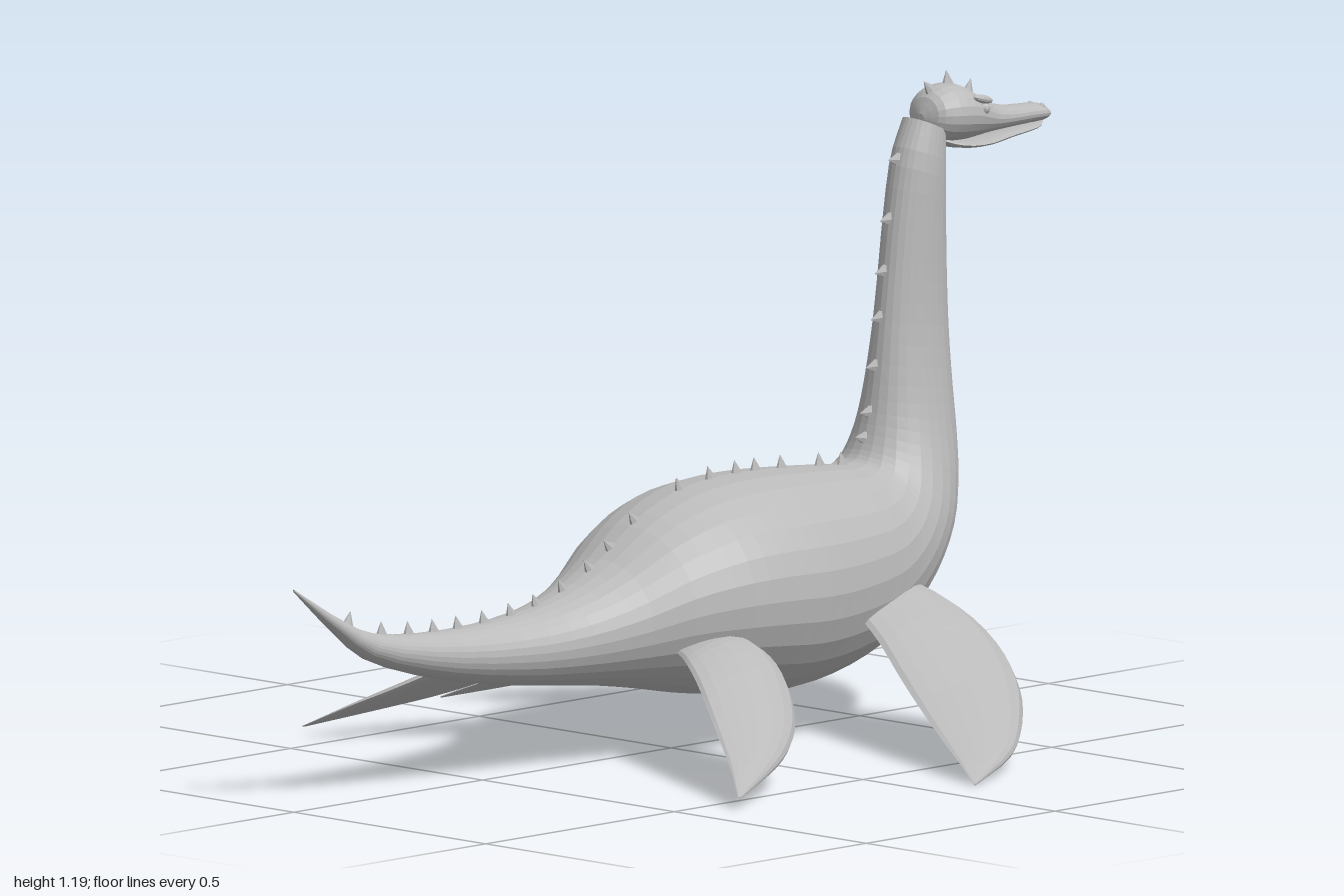
import * as THREE from 'three';

const skin = new THREE.MeshStandardMaterial({ color: 0xbababa });
skin.name = 'grey skin';

function facet(geometry) {
  const g = geometry.index ? geometry.toNonIndexed() : geometry;
  g.computeVertexNormals();
  return g;
}

function addMesh(parent, name, geometry) {
  const mesh = new THREE.Mesh(facet(geometry), skin);
  mesh.name = name;
  parent.add(mesh);
  return mesh;
}

// Skin a series of rings; ring(t, angle) returns a point, both ends are capped.
function loft(ring, steps, sides) {
  const pos = [], idx = [];
  for (let i = 0; i <= steps; i++) {
    for (let j = 0; j < sides; j++) pos.push(...ring(i / steps, (j / sides) * Math.PI * 2));
  }
  for (let i = 0; i < steps; i++) {
    for (let j = 0; j < sides; j++) {
      const k = (j + 1) % sides;
      const a = i * sides + j, b = i * sides + k;
      idx.push(a, b, a + sides, b, b + sides, a + sides);
    }
  }
  const last = steps * sides;
  for (let j = 1; j < sides - 1; j++) {
    idx.push(0, j + 1, j, last, last + j, last + j + 1);
  }
  const g = new THREE.BufferGeometry();
  g.setAttribute('position', new THREE.Float32BufferAttribute(pos, 3));
  g.setIndex(idx);
  return g;
}

const spline = (points) =>
  new THREE.CatmullRomCurve3(points.map((p) => new THREE.Vector3(...p)), false, 'catmullrom', 0.5);

// Rows: top x, top y, bottom x, bottom y, half width.
function bodyLoft(rows, steps, sides) {
  const top = spline(rows.map((r) => [r[0], r[1], r[4]]));
  const bottom = spline(rows.map((r) => [r[2], r[3], 0]));
  const geometry = loft((t, a) => {
    const p = top.getPoint(t), q = bottom.getPoint(t);
    const c = Math.cos(a) / 2;
    return [
      (p.x + q.x) / 2 + (p.x - q.x) * c,
      (p.y + q.y) / 2 + (p.y - q.y) * c,
      Math.max(p.z, 0.001) * Math.sin(a),
    ];
  }, steps, sides);
  return { geometry, top };
}

// Rows: distance from the centre, trailing x, leading x, height, half thickness.
function flipper(rows, side) {
  const edges = spline(rows.map((r) => [r[1], r[2], r[0]]));
  const shape = spline(rows.map((r) => [r[3], r[4], 0]));
  return loft((t, a) => {
    const e = edges.getPoint(t), s = shape.getPoint(t);
    const c = Math.cos(a);
    const thick = Math.max(s.y, 0.001) * (0.8 + 0.35 * c);
    return [
      (e.x + e.y) / 2 + ((e.y - e.x) / 2) * c,
      s.x + side * thick * Math.sin(a),
      e.z * side,
    ];
  }, 20, 16);
}

const BODY = [
  [-1, 0.42, -1, 0.415, 0.002], [-0.88, 0.35, -0.9, 0.33, 0.017],
  [-0.78, 0.31, -0.8, 0.26, 0.03], [-0.6, 0.295, -0.62, 0.205, 0.05],
  [-0.42, 0.303, -0.44, 0.172, 0.075], [-0.3, 0.328, -0.3, 0.155, 0.1],
  [-0.2, 0.372, -0.2, 0.142, 0.135], [-0.1, 0.438, -0.1, 0.125, 0.18],
  [0, 0.48, 0, 0.105, 0.215], [0.1, 0.496, 0.1, 0.09, 0.228],
  [0.2, 0.498, 0.2, 0.08, 0.228], [0.3, 0.493, 0.32, 0.088, 0.212],
  [0.4, 0.485, 0.45, 0.12, 0.19], [0.45, 0.48, 0.55, 0.175, 0.165],
  [0.475, 0.48, 0.63, 0.245, 0.145], [0.492, 0.487, 0.69, 0.33, 0.125],
  [0.507, 0.51, 0.718, 0.42, 0.105], [0.522, 0.555, 0.725, 0.51, 0.086],
  [0.535, 0.62, 0.722, 0.6, 0.071], [0.55, 0.72, 0.718, 0.7, 0.058],
  [0.563, 0.82, 0.715, 0.8, 0.052], [0.578, 0.93, 0.712, 0.9, 0.05],
  [0.6, 1.04, 0.71, 1.0, 0.049], [0.632, 1.112, 0.711, 1.075, 0.042],
];

const HEAD = [
  [0.662, 1.115, 0.662, 1.1, 0.008], [0.677, 1.15, 0.672, 1.075, 0.042],
  [0.71, 1.165, 0.7, 1.06, 0.06], [0.75, 1.162, 0.75, 1.056, 0.065],
  [0.79, 1.141, 0.79, 1.058, 0.055], [0.83, 1.119, 0.83, 1.061, 0.041],
  [0.88, 1.106, 0.88, 1.063, 0.031], [0.94, 1.102, 0.94, 1.065, 0.028],
  [0.97, 1.099, 0.97, 1.066, 0.029], [0.99, 1.087, 0.99, 1.071, 0.017],
  [0.997, 1.079, 0.997, 1.077, 0.003],
];

const JAW = [
  [0.69, 1.07, 0.69, 1.062, 0.012], [0.73, 1.06, 0.73, 1.045, 0.046],
  [0.8, 1.055, 0.8, 1.039, 0.045], [0.88, 1.059, 0.88, 1.044, 0.029],
  [0.95, 1.064, 0.95, 1.053, 0.025], [0.978, 1.069, 0.978, 1.064, 0.008],
];

const FRONT_FLIPPER = [
  [0.1, 0.34, 0.5, 0.245, 0.035], [0.16, 0.325, 0.525, 0.235, 0.045],
  [0.25, 0.295, 0.545, 0.195, 0.05], [0.35, 0.25, 0.53, 0.145, 0.047],
  [0.45, 0.205, 0.47, 0.1, 0.038], [0.55, 0.16, 0.37, 0.06, 0.027],
  [0.63, 0.125, 0.26, 0.03, 0.016], [0.695, 0.095, 0.102, 0.002, 0.002],
];

const REAR_FLIPPER = [
  [0.14, -0.13, 0, 0.215, 0.025], [0.2, -0.165, 0.015, 0.205, 0.038],
  [0.27, -0.205, 0.008, 0.177, 0.042], [0.35, -0.255, -0.035, 0.137, 0.036],
  [0.43, -0.305, -0.11, 0.095, 0.028], [0.5, -0.35, -0.22, 0.06, 0.017],
  [0.568, -0.4, -0.39, 0.022, 0.002],
];

export function createModel() {
  const model = new THREE.Group();
  model.name = 'swimming reptile';

  // Tail, trunk and neck in one skin
  const body = bodyLoft(BODY, 60, 28);
  addMesh(model, 'body', body.geometry);

  // Head and lower jaw
  const head = new THREE.Group();
  head.name = 'head';
  model.add(head);
  const skull = bodyLoft(HEAD, 24, 20);
  addMesh(head, 'skull', skull.geometry);
  addMesh(head, 'lowerJaw', bodyLoft(JAW, 14, 16).geometry);

  for (const side of [1, -1]) {
    const label = side > 0 ? 'left' : 'right';
    // Eyes, brows and nostrils
    const eye = addMesh(head, label + 'Eye', new THREE.SphereGeometry(0.012, 12, 8));
    eye.position.set(0.778, 1.118, side * 0.051);
    const brow = addMesh(head, label + 'Brow', new THREE.SphereGeometry(0.01, 10, 6));
    brow.scale.set(2.6, 0.8, 1);
    brow.position.set(0.772, 1.136, side * 0.054);
    brow.rotation.z = -0.25;
    const nostril = addMesh(head, label + 'Nostril', new THREE.SphereGeometry(0.006, 8, 6));
    nostril.position.set(0.967, 1.095, side * 0.015);
    // Flippers
    addMesh(model, label + 'FrontFlipper', flipper(FRONT_FLIPPER, side));
    addMesh(model, label + 'RearFlipper', flipper(REAR_FLIPPER, side));
  }

  // Row of small spikes down the back
  const spikes = new THREE.Group();
  spikes.name = 'backSpikes';
  model.add(spikes);
  function addSpike(curve, axis, value) {
    let t = 0;
    while (t < 1 && curve.getPoint(t)[axis] < value) t += 0.001;
    t = Math.min(t, 1);
    const p = curve.getPoint(t), d = curve.getTangent(t);
    const cone = addMesh(spikes, 'spike', new THREE.ConeGeometry(0.016, 0.032, 6));
    const angle = Math.atan2(d.y, d.x);
    cone.scale.z = 0.5;
    cone.rotation.z = angle + 0.2;
    cone.position.set(p.x - Math.sin(angle) * 0.009, p.y + Math.cos(angle) * 0.009, 0);
  }
  const alongBack = [-0.86, -0.77, -0.7, -0.635, -0.57, -0.5, -0.43, -0.36, -0.29, -0.22,
    -0.165, -0.1, 0.02, 0.1, 0.17, 0.22, 0.29, 0.39, 0.45];
  for (const x of alongBack) addSpike(body.top, 'x', x);
  for (const x of [0.511, 0.525, 0.54, 0.553, 0.564, 0.577, 0.598]) addSpike(body.top, 'x', x);
  for (const x of [0.685, 0.73, 0.785]) addSpike(skull.top, 'x', x);

  return model;
}
